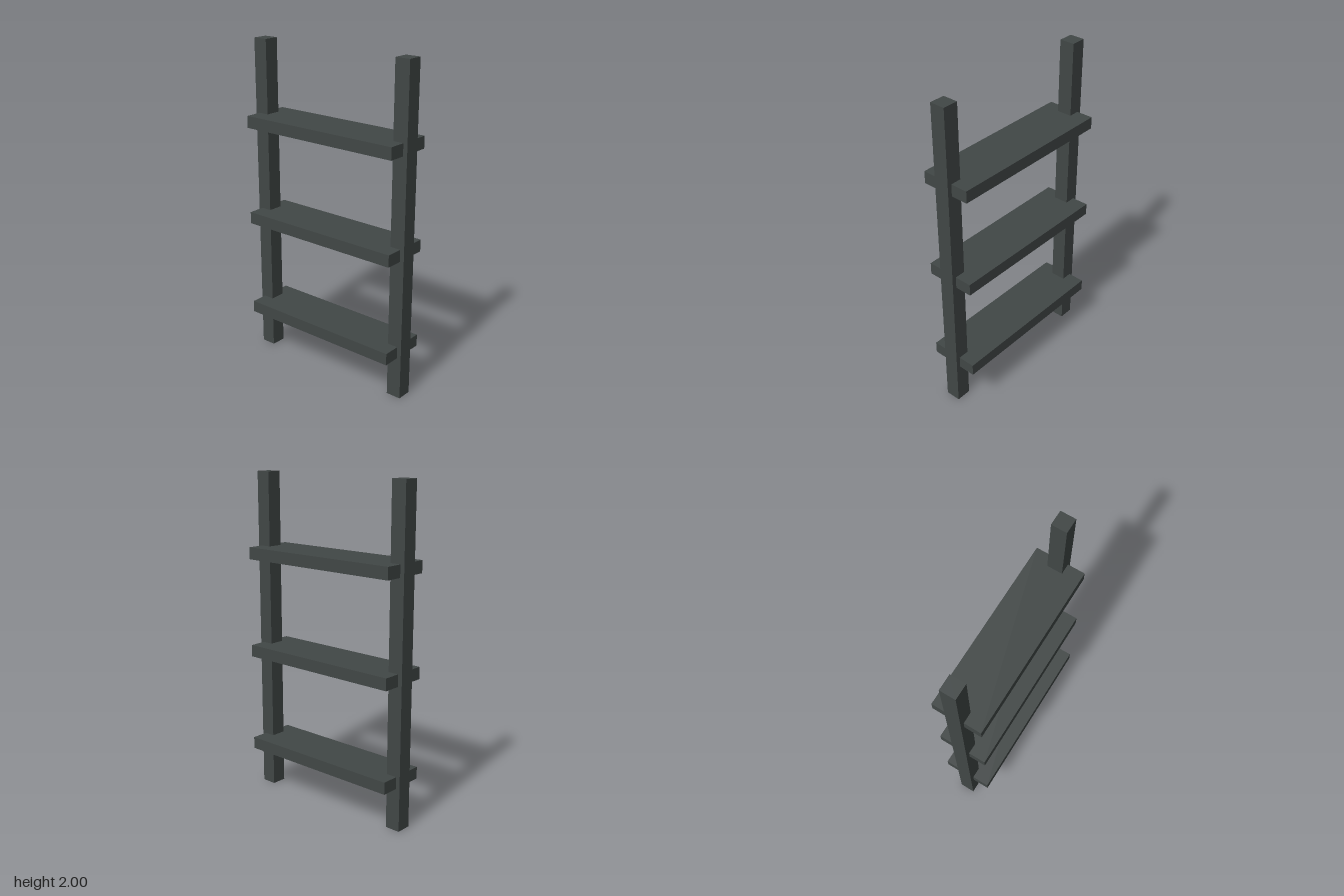
import * as THREE from 'three';

export function createModel() {
  const model = new THREE.Group();
  model.name = 'openShelf';

  const darkGrey = new THREE.MeshStandardMaterial({ color: 0x414746 });
  darkGrey.name = 'darkGrey';

  function addBox(name, width, height, depth, x, y) {
    const mesh = new THREE.Mesh(new THREE.BoxGeometry(width, height, depth), darkGrey);
    mesh.name = name;
    mesh.position.set(x, y, 0);
    model.add(mesh);
  }

  // Square upright posts
  addBox('leftPost', 0.093, 2, 0.093, 0.512, 1);
  addBox('rightPost', 0.093, 2, 0.093, -0.512, 1);

  // Shelf boards wrapping around the posts, evenly spaced
  ['lowerShelf', 'middleShelf', 'upperShelf'].forEach((name, i) => {
    addBox(name, 1.064, 0.073, 0.304, 0, 0.296 + i * 0.61);
  });

  return model;
}
